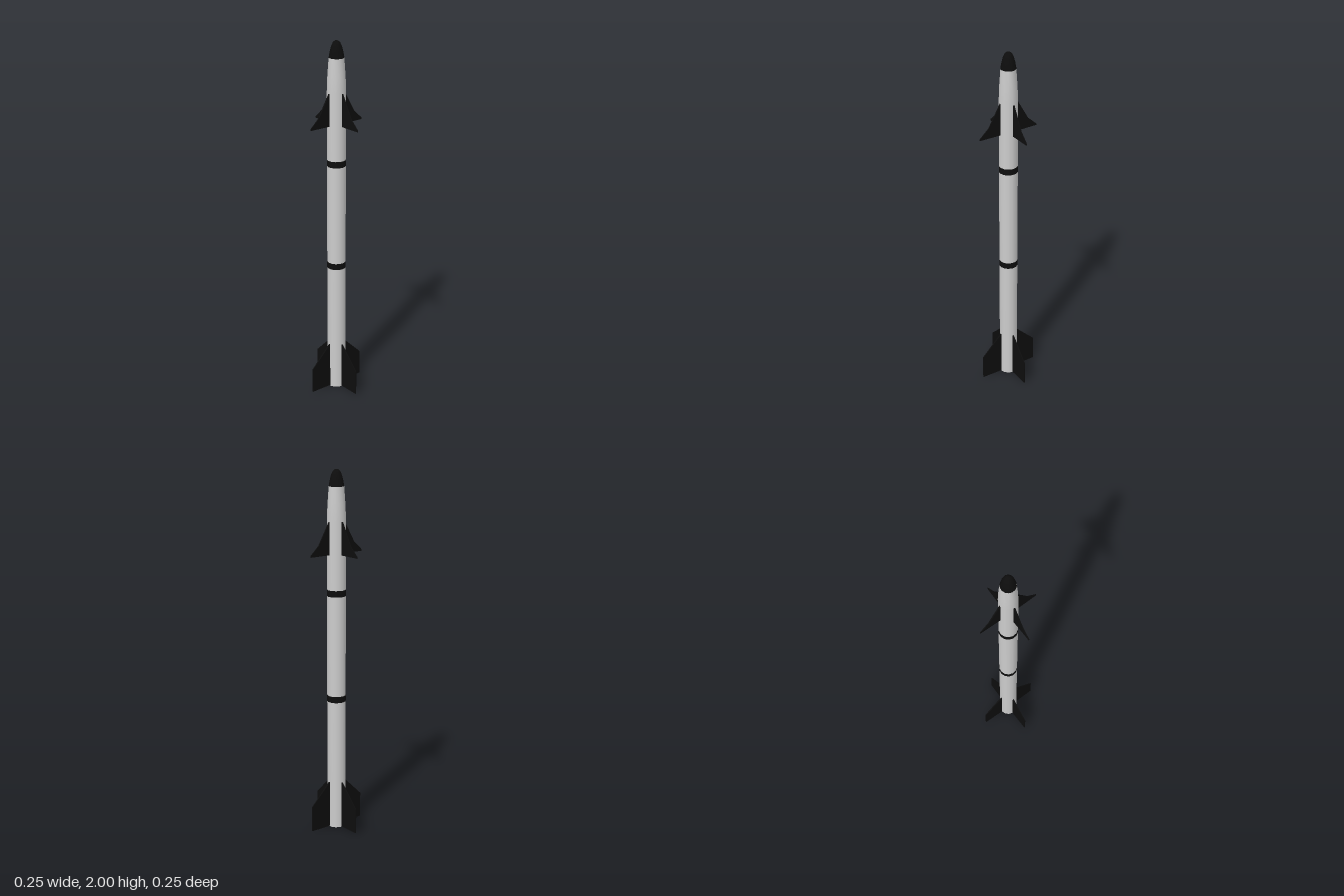
import * as THREE from 'three';
import { toCreasedNormals } from 'three/addons/utils/BufferGeometryUtils.js';

const SIDES = 14;
const R = 0.051;

const grey = new THREE.MeshStandardMaterial({ color: 0xcccccc });
const black = new THREE.MeshStandardMaterial({ color: 0x0d0d0d });

// Turned part from [radius, height] pairs, running bottom to top
function turned(name, profile, material) {
  const points = profile.map(([r, y]) => new THREE.Vector2(r, y));
  const geometry = toCreasedNormals(new THREE.LatheGeometry(points, SIDES), 0.7);
  const mesh = new THREE.Mesh(geometry, material);
  mesh.name = name;
  return mesh;
}

// Flat fin from [radial distance, height] corners, thinning towards its tip
function finGeometry(outline, rootThickness, tipThickness) {
  const shape = new THREE.Shape(outline.map(([x, y]) => new THREE.Vector2(x, y)));
  const geometry = new THREE.ExtrudeGeometry(shape, { depth: 1, bevelEnabled: false });
  const pos = geometry.attributes.position;
  for (let i = 0; i < pos.count; i++) {
    const t = THREE.MathUtils.clamp((pos.getX(i) - 0.04) / 0.133, 0, 1);
    pos.setZ(i, (pos.getZ(i) - 0.5) * THREE.MathUtils.lerp(rootThickness, tipThickness, t));
  }
  geometry.computeVertexNormals();
  return geometry;
}

// Four fins on the diagonals
function finSet(name, geometry) {
  const set = new THREE.Group();
  set.name = name + 's';
  for (let i = 0; i < 4; i++) {
    const fin = new THREE.Mesh(geometry, black);
    fin.name = name;
    fin.rotation.y = Math.PI / 4 + (i * Math.PI) / 2;
    set.add(fin);
  }
  return set;
}

export function createModel() {
  const model = new THREE.Group();
  model.name = 'missile';

  // Body with a hollow exhaust at the tail and a tapering shoulder
  model.add(turned('body', [
    [0, 0.25], [0.046, 0.25], [0.046, 0], [R, 0],
    [R, 1.73], [0.048, 1.81], [0.041, 1.91],
  ], grey));

  // Rounded nose tip
  model.add(turned('noseTip', [
    [0.041, 1.91], [0.036, 1.94], [0.029, 1.968], [0.019, 1.99], [0.009, 1.998], [0, 2],
  ], black));

  // Painted bands
  for (const y of [0.752, 1.342]) {
    const h = 0.0175;
    model.add(turned('band', [
      [R, y - h], [R + 0.0006, y - h], [R + 0.0006, y + h], [R, y + h],
    ], black));
  }

  // Swept front fins and clipped tail fins
  model.add(finSet('frontFin', finGeometry([
    [0.04, 1.55], [0.173, 1.55], [0.173, 1.558], [0.12, 1.606], [0.048, 1.73], [0.04, 1.73],
  ], 0.009, 0.004)));
  model.add(finSet('tailFin', finGeometry([
    [0.047, 0.003], [0.173, 0.003], [0.173, 0.145], [0.047, 0.27],
  ], 0.009, 0.005)));

  return model;
}
